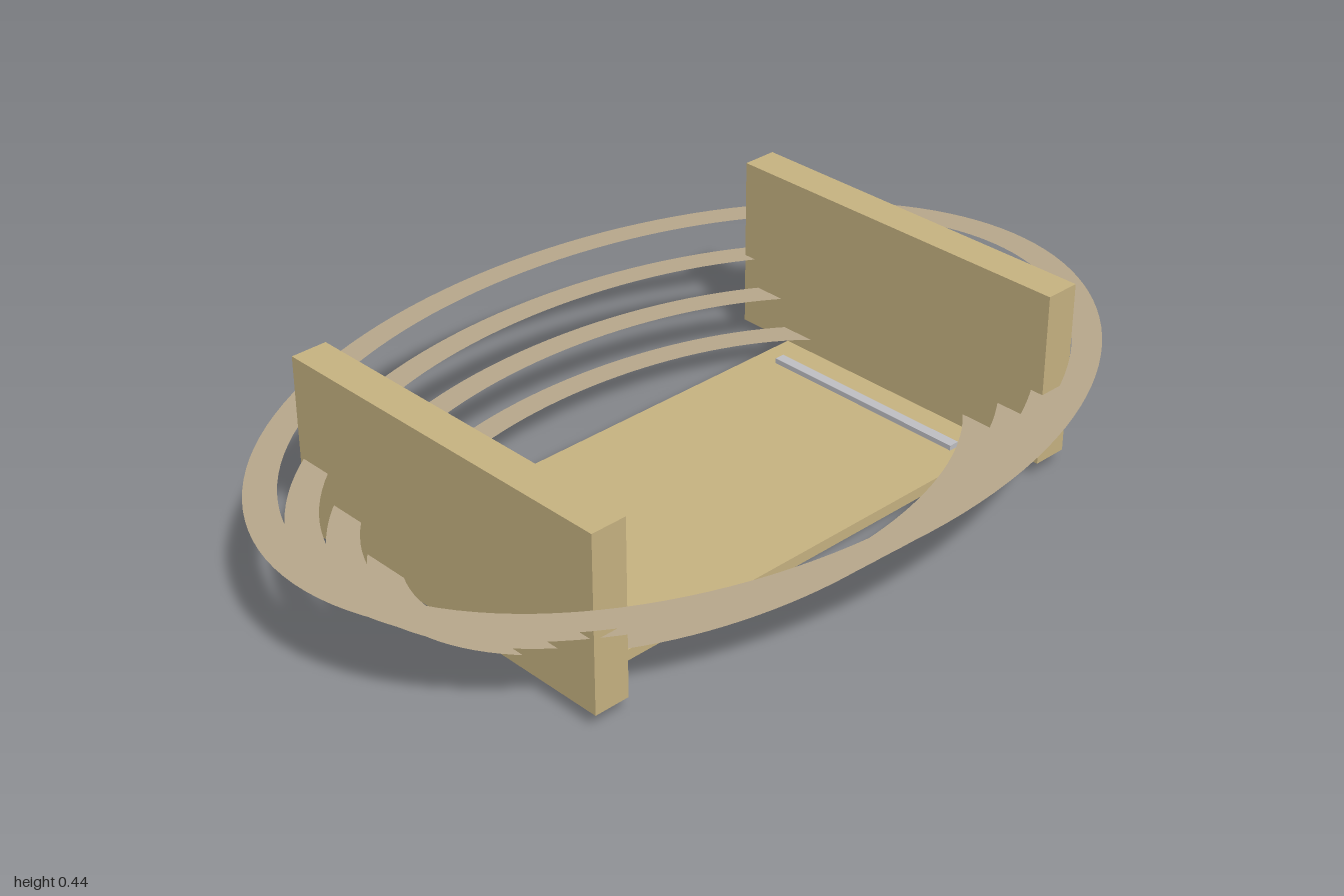
import * as THREE from 'three';

export function createModel() {
  const model = new THREE.Group();
  const wood = new THREE.MeshStandardMaterial({ color: 0xc8b482 });
  wood.name = 'light wood';
  const cane = new THREE.MeshStandardMaterial({ color: 0xb8a88c, side: THREE.DoubleSide });
  cane.name = 'cane';
  const metal = new THREE.MeshStandardMaterial({ color: 0xc0c0c4 });
  metal.name = 'pale metal';

  function box(name, material, w, h, d, x, bottom) {
    const mesh = new THREE.Mesh(new THREE.BoxGeometry(w, h, d), material);
    mesh.name = name;
    mesh.position.set(x, bottom + h / 2, 0);
    model.add(mesh);
  }

  // Flat base board
  box('base', wood, 1.21, 0.025, 0.625, 0, 0);

  // Upright end panels and the thin rails just inside them
  for (const [label, s] of [['left', 1], ['right', -1]]) {
    box(label + 'EndPanel', wood, 0.082, 0.397, 0.87, s * 0.625, 0.038);
    box(label + 'Rail', metal, 0.024, 0.012, 0.52, s * 0.52, 0.025);
  }

  // Four flat oval hoops, widening upwards
  for (let i = 0; i < 4; i++) {
    const a = 1 - 0.0783 * (3 - i);
    const b = 0.684 - 0.0695 * (3 - i);
    const shape = new THREE.Shape().absellipse(0, 0, a, b, 0, Math.PI * 2, false);
    shape.holes.push(new THREE.Path().absellipse(0, 0, a - 0.07, b - 0.059, 0, Math.PI * 2, true));
    const hoop = new THREE.Mesh(new THREE.ShapeGeometry(shape, 64).rotateX(-Math.PI / 2), cane);
    hoop.name = 'hoop' + (i + 1);
    hoop.position.y = 0.069 + 0.068 * i;
    model.add(hoop);
  }

  return model;
}
